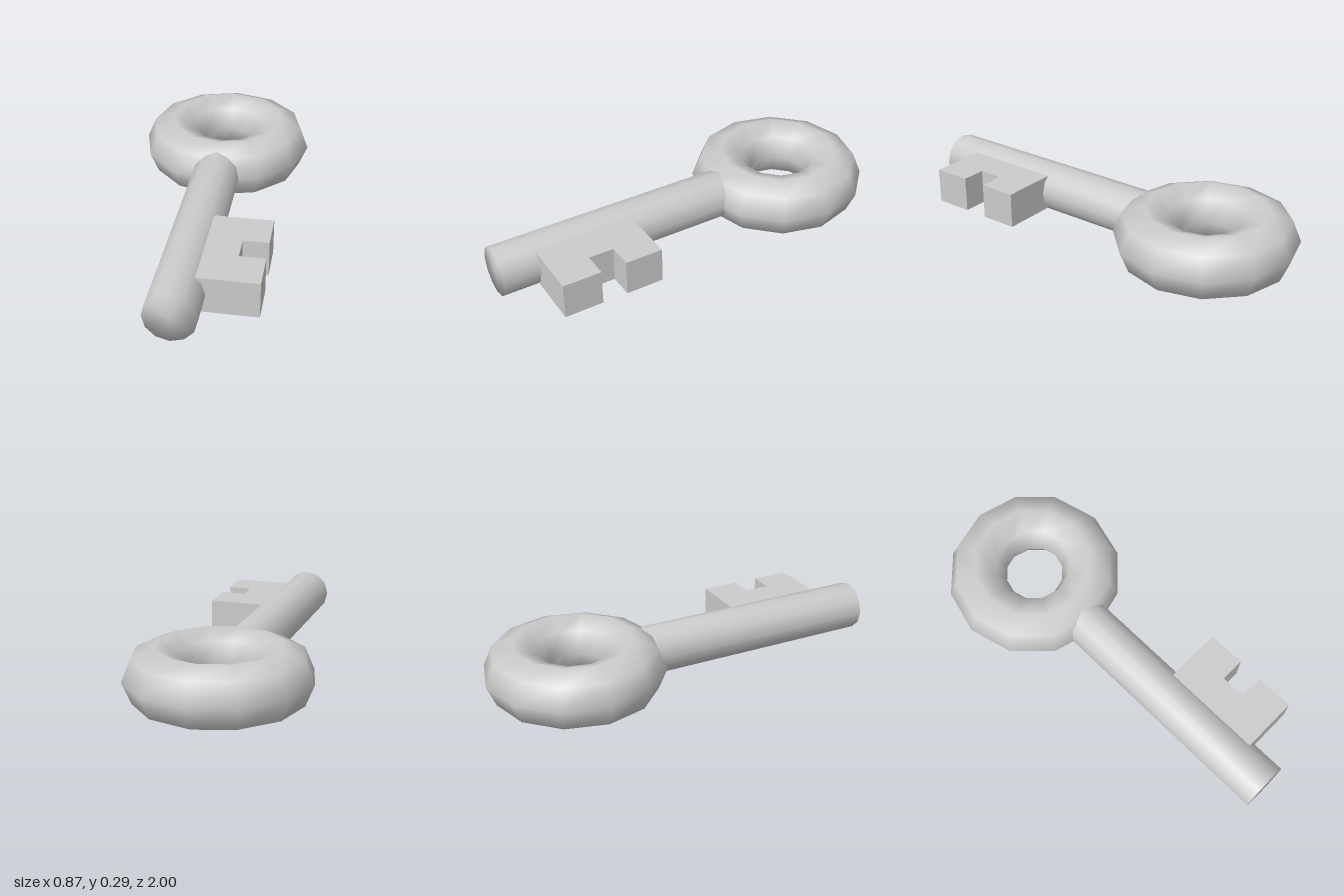
import * as THREE from 'three';
import { mergeVertices } from 'three/addons/utils/BufferGeometryUtils.js';

const MID = 0.146; // height of the key's centre plane

// Share every vertex so shading runs smoothly over edges and caps
function smooth(geometry) {
  geometry.deleteAttribute('uv');
  geometry.deleteAttribute('normal');
  const merged = mergeVertices(geometry, 1e-4);
  merged.computeVertexNormals();
  return merged;
}

export function createModel() {
  const key = new THREE.Group();
  key.name = 'key';
  const smoothMat = new THREE.MeshStandardMaterial({ color: 0xcccccc });
  const flatMat = new THREE.MeshStandardMaterial({ color: 0xcccccc, flatShading: true });

  const add = (name, geometry, material, y, z) => {
    const mesh = new THREE.Mesh(geometry, material);
    mesh.name = name;
    mesh.position.set(0, y, z);
    key.add(mesh);
  };

  // Ring handle lying flat at the back
  const ring = smooth(new THREE.TorusGeometry(0.29, 0.146, 8, 12).rotateX(Math.PI / 2));
  add('ringHandle', ring, smoothMat, MID, -0.564);

  // Round shaft, its back end buried in the ring
  const back = -0.26, front = 1;
  const shaft = smooth(new THREE.CylinderGeometry(0.12, 0.12, front - back, 12).rotateX(Math.PI / 2));
  add('shaft', shaft, smoothMat, MID + 0.001, (front + back) / 2);

  // Notched bit on the left side, outlined in x and z
  const outline = [
    [0.03, 0.33], [0.355, 0.33], [0.355, 0.515], [0.235, 0.515],
    [0.235, 0.637], [0.355, 0.637], [0.355, 0.825], [0.03, 0.825],
  ].map(([x, z]) => new THREE.Vector2(x, z));
  const bit = new THREE.ExtrudeGeometry(new THREE.Shape(outline), { depth: 0.175, bevelEnabled: false });
  bit.rotateX(Math.PI / 2);
  add('bit', bit, flatMat, 0.235, 0);

  return key;
}
